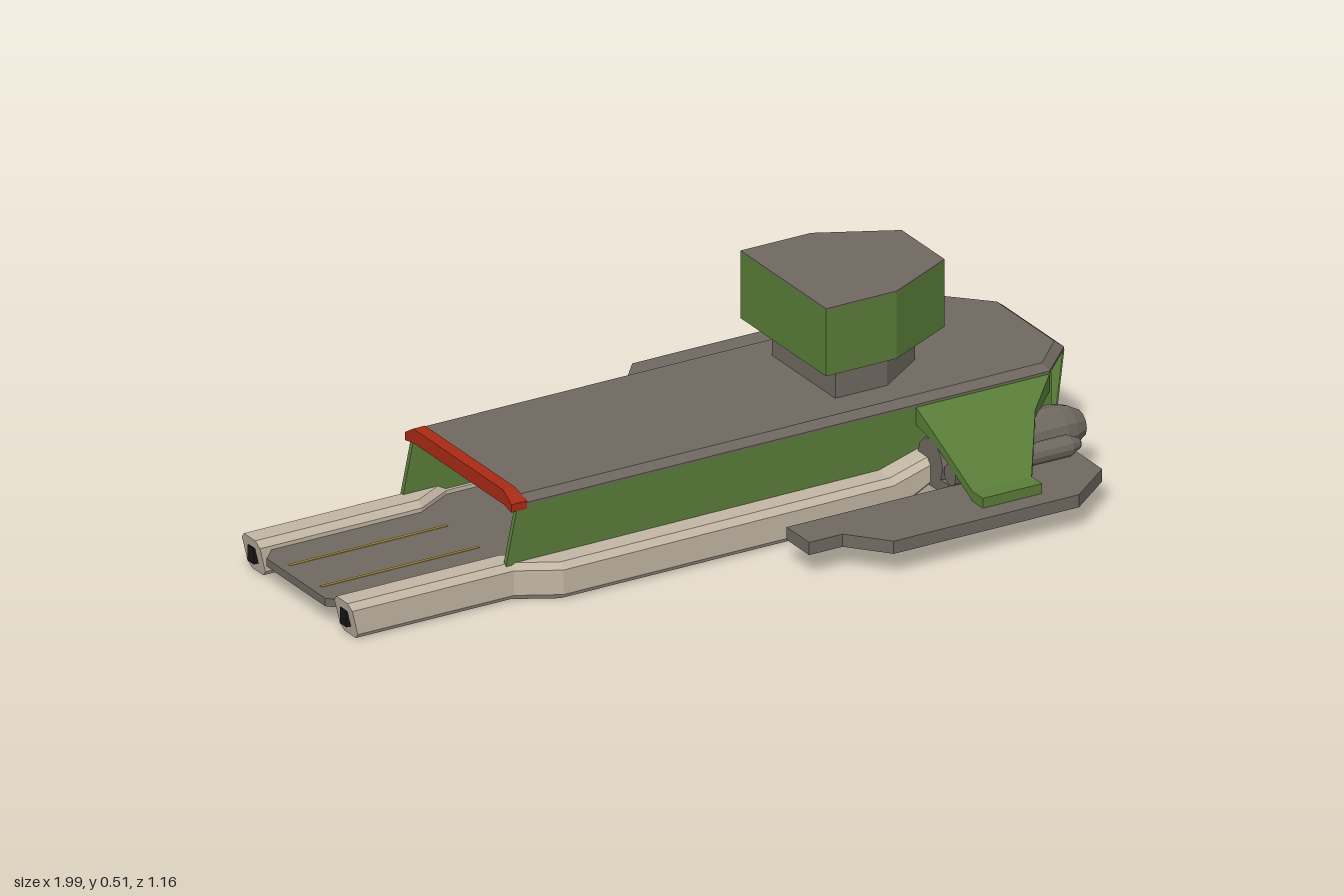
import * as THREE from 'three';

const mat = (color) => new THREE.MeshStandardMaterial({ color, flatShading: true, side: THREE.DoubleSide });
const GREY = mat(0x6f6860), GREEN = mat(0x5a7d38), CREAM = mat(0xc2b6a4);
const RED = mat(0xa82a14), YELLOW = mat(0xb0923a), DARK = mat(0x151515);

function part(group, name, geometry, material) {
  const mesh = new THREE.Mesh(geometry, material);
  mesh.name = name;
  group.add(mesh);
  return mesh;
}

// Closed solid through convex rings of [x, y, z]; faces are turned outward
function loft(rings) {
  const tris = [], n = rings[0].length, last = rings[rings.length - 1];
  for (let r = 0; r < rings.length - 1; r++) {
    for (let i = 0; i < n; i++) {
      const j = (i + 1) % n, a = rings[r], b = rings[r + 1];
      tris.push([a[i], a[j], b[j]], [a[i], b[j], b[i]]);
    }
  }
  for (let i = 1; i < n - 1; i++) {
    tris.push([rings[0][0], rings[0][i + 1], rings[0][i]], [last[0], last[i], last[i + 1]]);
  }
  let volume = 0;
  const o = new THREE.Vector3(...rings[0][0]);
  for (const t of tris) {
    const [a, b, c] = t.map((p) => new THREE.Vector3(...p).sub(o));
    volume += a.dot(b.cross(c));
  }
  if (volume < 0) tris.forEach((t) => t.reverse());
  const g = new THREE.BufferGeometry();
  g.setAttribute('position', new THREE.Float32BufferAttribute(tris.flat(2), 3));
  g.computeVertexNormals();
  return g;
}

// Flat plate from an [x, z] outline between two heights
function plate(points, y0, y1) {
  const shape = new THREE.Shape(points.map(([x, z]) => new THREE.Vector2(x, -z)));
  const g = new THREE.ExtrudeGeometry(shape, { depth: y1 - y0, bevelEnabled: false });
  return g.rotateX(-Math.PI / 2).translate(0, y0, 0);
}

// Outline mirrored across the centre line
const mirrored = (half) => [...half, ...half.map(([x, z]) => [x, -z]).reverse()];
const at = (points, y) => points.map(([x, z]) => [x, y, z]);

function box(x0, x1, y0, y1, z0, z1) {
  return new THREE.BoxGeometry(x1 - x0, y1 - y0, Math.abs(z1 - z0))
    .translate((x0 + x1) / 2, (y0 + y1) / 2, (z0 + z1) / 2);
}

// Chamfered rail cross-section
function railSection(x, z, y0, y1, s, rake = 0) {
  const w = 0.04, c = 0.015;
  return [[-w + c, y0], [w - c, y0], [w, y0 + c], [w, y1 - c], [w - c, y1], [-w + c, y1], [-w, y1 - c], [-w, y0 + c]]
    .map(([dz, y]) => [x + rake * (y1 - y) / (y1 - y0), y, s * (z + dz)]);
}

// Engine body turned around the x axis; profile is [radius, x]
function engine(profile, y, z) {
  const g = new THREE.LatheGeometry(profile.map(([r, x]) => new THREE.Vector2(r, x)), 12);
  return g.rotateZ(-Math.PI / 2).translate(0, y, z);
}

export function createModel() {
  const model = new THREE.Group();
  model.name = 'hoverBarge';

  // Floor and forward ramp deck
  part(model, 'floor', plate(mirrored([[-1, 0.13], [-0.965, 0.165], [-0.6, 0.165], [-0.46, 0.23], [0.9, 0.235]]), 0.05, 0.07), GREY);
  for (const z of [-0.07, 0.07]) {
    part(model, 'deckLine', box(-0.975, -0.55, 0.07, 0.0715, z - 0.004, z + 0.004), YELLOW);
  }

  // Hull: roof with bevelled rim, sloped stern, inner bulkhead
  const rim = mirrored([[-0.55, 0.235], [0.89, 0.235], [0.99, 0.135]]);
  const roofTop = mirrored([[-0.55, 0.218], [0.88, 0.218], [0.968, 0.128]]);
  part(model, 'roof', loft([at(rim, 0.233), at(rim, 0.24), at(roofTop, 0.257)]), GREY);
  part(model, 'sternWall', loft([
    at([[0.9, 0.235], [0.9, -0.235], [0.896, -0.235], [0.896, 0.235]], 0.055),
    at([[0.988, 0.14], [0.988, -0.14], [0.984, -0.14], [0.984, 0.14]], 0.235)]), GREEN);
  part(model, 'bulkhead', box(0.86, 0.87, 0.07, 0.235, -0.225, 0.225), GREY);

  // Red trim over the roof's forward edge
  part(model, 'roofTrim', box(-0.562, -0.53, 0.232, 0.268, -0.2, 0.2), RED);
  for (const s of [-1, 1]) {
    part(model, 'trimEnd', loft([
      [[-0.562, 0.232, s * 0.2], [-0.53, 0.232, s * 0.2], [-0.53, 0.268, s * 0.2], [-0.562, 0.268, s * 0.2]],
      [[-0.562, 0.225, s * 0.237], [-0.52, 0.225, s * 0.237], [-0.52, 0.245, s * 0.237], [-0.562, 0.245, s * 0.237]],
    ]), RED);
  }

  // Tower: neck, flare and green cabin with a grey lid
  const cabin = mirrored([[0.315, 0.19], [0.505, 0.19], [0.692, 0.095]]);
  const neck = mirrored([[0.37, 0.14], [0.51, 0.14], [0.64, 0.05]]);
  const flare = mirrored([[0.345, 0.16], [0.51, 0.16], [0.662, 0.07]]);
  part(model, 'towerNeck', loft([at(neck, 0.25), at(neck, 0.328), at(flare, 0.347)]), GREY);
  part(model, 'towerCabin', plate(cabin, 0.345, 0.512), GREEN);
  part(model, 'towerLid', plate(cabin, 0.512, 0.516), GREY);

  for (const s of [-1, 1]) {
    // Side wall with raked forward edge
    const side = new THREE.Shape([[-0.58, 0.07], [0.895, 0.07], [0.895, 0.235], [-0.545, 0.235]].map((p) => new THREE.Vector2(...p)));
    const wall = new THREE.ExtrudeGeometry(side, { depth: 0.012, bevelEnabled: false });
    part(model, 'sideWall', wall.translate(0, 0, s * 0.229 - 0.006), GREEN);

    // Long rail that steps outward beside the hull and lifts at its rear
    part(model, 'rail', loft([
      railSection(-1, 0.205, 0.003, 0.095, s, 0.022), railSection(-0.56, 0.205, 0.003, 0.095, s),
      railSection(-0.46, 0.26, 0.003, 0.095, s), railSection(0.43, 0.26, 0.003, 0.098, s),
      railSection(0.54, 0.26, 0.06, 0.13, s)]), CREAM);
    part(model, 'railSlot', box(-0.997, -0.96, 0.03, 0.07, s * 0.205 - 0.014, s * 0.205 + 0.014), DARK);

    // Side platform carrying the engines
    const pad = [[0.09, 0.385], [0.09, 0.485], [0.18, 0.485], [0.26, 0.58], [0.76, 0.58], [0.88, 0.485], [0.88, 0.23], [0.53, 0.23], [0.53, 0.385]];
    part(model, 'sidePlatform', plate(pad.map(([x, z]) => [x, s * z]), 0.06, 0.092), GREY);

    // Main and small engine with dark nozzle openings
    part(model, 'mainEngine', engine([[0, 0.53], [0.055, 0.53], [0.06, 0.54], [0.06, 0.87], [0.052, 0.9], [0.034, 0.932], [0.026, 0.932], [0.026, 0.9], [0, 0.9]], 0.123, s * 0.298), GREY);
    part(model, 'mainNozzle', engine([[0.025, 0.915], [0, 0.915]], 0.123, s * 0.298), DARK);
    part(model, 'smallEngine', engine([[0, 0.53], [0.026, 0.53], [0.026, 0.85], [0.013, 0.877], [0, 0.877]], 0.12, s * 0.385), GREY);
    part(model, 'smallNozzle', engine([[0.011, 0.879], [0, 0.879]], 0.12, s * 0.385), DARK);
  }

  // Single sloped wing on the front side with a flat tip
  const rib = (x1, z, y0, y1) => [[0.53, y0, z], [x1, y0, z], [x1, y1, z], [0.53, y1, z]];
  part(model, 'wing', loft([
    rib(0.89, 0.235, 0.19, 0.233), rib(0.8, 0.32, 0.172, 0.196), rib(0.69, 0.485, 0.093, 0.118), rib(0.69, 0.532, 0.093, 0.118)]), GREEN);

  return model;
}
